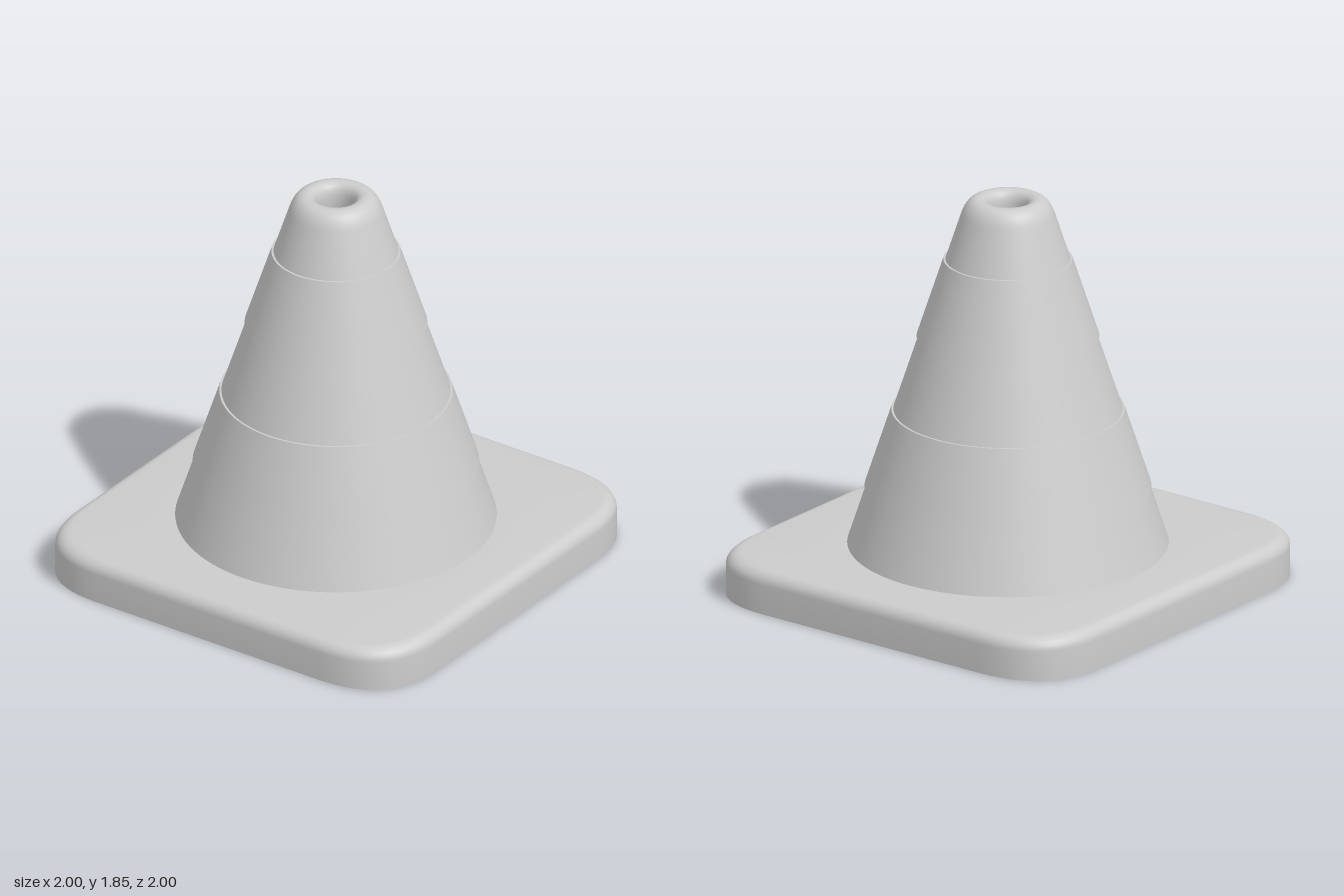
import * as THREE from 'three';
import { toCreasedNormals } from 'three/addons/utils/BufferGeometryUtils.js';

const material = new THREE.MeshStandardMaterial({ color: 0xcccccc });

// Square outline with soft corners, as [x, z] pairs running from +x towards +z
function softSquare(half, corner) {
  const points = [], cornerSteps = 14, sideSteps = 14, s = half - corner;
  for (let q = 0; q < 4; q++) {
    const c = Math.round(Math.cos(q * Math.PI / 2)), n = Math.round(Math.sin(q * Math.PI / 2));
    const add = (x, z) => points.push([x * c - z * n, x * n + z * c]);
    for (let i = 0; i < sideSteps; i++) add(half, -s + 2 * s * i / sideSteps);
    for (let i = 0; i < cornerSteps; i++) {
      const t = i / cornerSteps;
      add(half - corner * t * t, half - corner * (1 - t) * (1 - t));
    }
  }
  return points;
}

// Circle sampled at the same angles as the soft square
function circle(radius) {
  return softSquare(1, 0.38).map(([x, z]) => {
    const k = radius / Math.hypot(x, z);
    return [x * k, z * k];
  });
}

// Skin through closed rings of equal point count
function loft(rings) {
  const positions = [], index = [], n = rings[0].points.length;
  for (const { points, y } of rings) for (const [x, z] of points) positions.push(x, y, z);
  for (let r = 0; r < rings.length - 1; r++) {
    for (let i = 0; i < n; i++) {
      const a = r * n + i, b = r * n + (i + 1) % n;
      index.push(a, a + n, b, b, a + n, b + n);
    }
  }
  const geometry = new THREE.BufferGeometry();
  geometry.setAttribute('position', new THREE.Float32BufferAttribute(positions, 3));
  geometry.setIndex(index);
  return toCreasedNormals(geometry, 0.5);
}

// Base plate: recessed underside, upright rim, rounded top edge
function createBase() {
  const rings = [
    { points: circle(0.485), y: 0.11 },
    { points: softSquare(0.84, 0.31), y: 0.11 },
    { points: softSquare(0.84, 0.31), y: 0 },
    { points: softSquare(1, 0.38), y: 0 },
  ];
  const fillet = 0.06, steps = 7;
  for (let i = 0; i <= steps; i++) {
    const a = i / steps * Math.PI / 2, inset = fillet * (1 - Math.cos(a));
    rings.push({ points: softSquare(1 - inset, 0.38 - inset * 0.6), y: 0.2 - fillet * (1 - Math.sin(a)) });
  }
  rings.push({ points: circle(0.7), y: 0.2 });
  return loft(rings);
}

// Hollow cone with two raised bands and a rounded lip
function createCone() {
  const v = (x, y) => new THREE.Vector2(x, y);
  const radius = y => 0.725 - 0.326 * (y - 0.2);
  const profile = [v(radius(0.19), 0.19)];
  for (const [low, high] of [[0.47, 0.84], [1.19, 1.56]]) {
    profile.push(v(radius(low), low), v(radius(low) + 0.01, low));
    profile.push(v(radius(high) + 0.01, high), v(radius(high), high));
  }
  const outerLip = new THREE.QuadraticBezierCurve(v(radius(1.77), 1.77), v(radius(1.85), 1.85), v(0.135, 1.85));
  const innerLip = new THREE.QuadraticBezierCurve(v(0.135, 1.85), v(0.085, 1.85), v(0.085, 1.78));
  profile.push(...outerLip.getPoints(9), ...innerLip.getPoints(9).slice(1));
  profile.push(v(0.085, 1.74), v(0.485, 0.11));
  return toCreasedNormals(new THREE.LatheGeometry(profile, 96), 0.5);
}

export function createModel() {
  const group = new THREE.Group();
  group.name = 'trafficCone';
  for (const [name, geometry] of [['base', createBase()], ['cone', createCone()]]) {
    const mesh = new THREE.Mesh(geometry, material);
    mesh.name = name;
    group.add(mesh);
  }
  return group;
}
